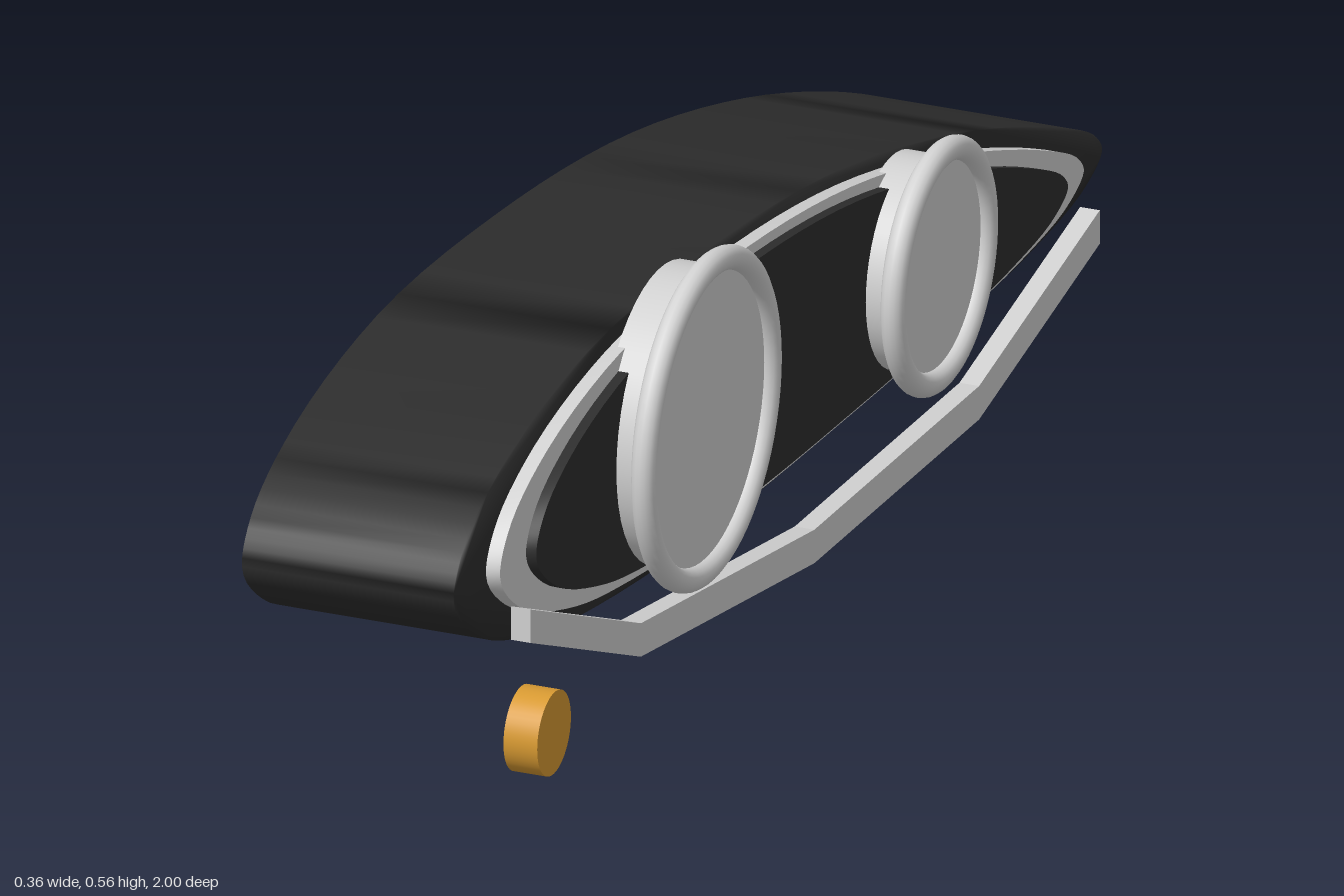
import * as THREE from 'three';
import { mergeVertices, toCreasedNormals } from 'three/addons/utils/BufferGeometryUtils.js';

const black = new THREE.MeshStandardMaterial({ name: 'black housing', color: 0x2d2d2d });
const silver = new THREE.MeshStandardMaterial({ name: 'silver', color: 0xd2d2d2 });
const amber = new THREE.MeshStandardMaterial({ name: 'amber', color: 0xd89a32 });

// Side outline of the housing as [z, y]
const OUTLINE = [
  [1, 0.36], [0.97, 0.415], [0.85, 0.472], [0.585, 0.512], [0.2, 0.49], [-0.18, 0.43],
  [-0.55, 0.327], [-0.87, 0.203], [-0.982, 0.145], [-1, 0.12], [-0.95, 0.095], [-0.78, 0.08],
  [-0.55, 0.084], [-0.2, 0.1], [0.2, 0.127], [0.55, 0.172], [0.75, 0.215], [0.93, 0.288],
];
const MID_Y = 0.295;

// Smooth closed outline, scaled about its middle
function outlinePoints(scale) {
  const pts = OUTLINE.map(([z, y]) => new THREE.Vector3(-z * scale, MID_Y + (y - MID_Y) * scale, 0));
  return new THREE.CatmullRomCurve3(pts, true).getPoints(96).slice(0, -1)
    .map(p => new THREE.Vector2(p.x, p.y));
}

// Extrude a (-z, y) shape sideways from x0 to x1
function sideExtrude(shape, x0, x1) {
  const geo = new THREE.ExtrudeGeometry(shape, { depth: x1 - x0, bevelEnabled: false });
  return geo.rotateY(Math.PI / 2).translate(x0, 0, 0);
}

function add(parent, name, geo, material) {
  const mesh = new THREE.Mesh(geo, material);
  mesh.name = name;
  parent.add(mesh);
  return mesh;
}

// Round disc whose axis runs along x
function disc(radius, x0, x1, y, z) {
  return new THREE.CylinderGeometry(radius, radius, x1 - x0, 48)
    .rotateZ(-Math.PI / 2).translate((x0 + x1) / 2, y, z);
}

export function createModel() {
  const model = new THREE.Group();
  model.name = 'headlight';

  // Housing, softly shaded across its edges
  let body = sideExtrude(new THREE.Shape(outlinePoints(1)), -0.178, 0.091);
  body.deleteAttribute('normal');
  body.deleteAttribute('uv');
  body = mergeVertices(body, 1e-4);
  body.computeVertexNormals();
  add(model, 'housing', body, black);

  // Bright trim plate and the dark inner panel on it
  const trim = sideExtrude(new THREE.Shape(outlinePoints(0.9)), 0.091, 0.109);
  add(model, 'trimPlate', toCreasedNormals(trim, 0.6), silver);
  const panel = sideExtrude(new THREE.Shape(outlinePoints(0.82)), 0.109, 0.122);
  add(model, 'innerPanel', toCreasedNormals(panel, 0.6), black);

  // Two round lamps with rims
  for (const [name, z, y, r] of [['frontLamp', 0.392, 0.358, 0.193], ['rearLamp', -0.326, 0.26, 0.142]]) {
    const lamp = new THREE.Group();
    lamp.name = name;
    add(lamp, 'lens', disc(r - 0.012, 0.1, 0.162, y, z), silver);
    const rim = new THREE.TorusGeometry(r, 0.015, 16, 64).rotateY(Math.PI / 2).translate(0.162, y, z);
    add(lamp, 'rim', rim, silver);
    model.add(lamp);
  }

  // Angular light strip under the lamps
  const path = [[0.91, 0.302], [0.57, 0.145], [0.035, 0.046], [-0.473, 0.0225], [-0.845, 0.096]];
  const half = 0.0215;
  const edge = s => path.map(([z, y]) => new THREE.Vector2(-z, y + s * half));
  const strip = new THREE.Shape([...edge(-1), ...edge(1).reverse()]);
  add(model, 'lightStrip', sideExtrude(strip, 0.127, 0.152), silver);

  // Turn indicator
  add(model, 'indicator', disc(0.052, 0.114, 0.157, 0.141, 0.85), amber);

  return model;
}
